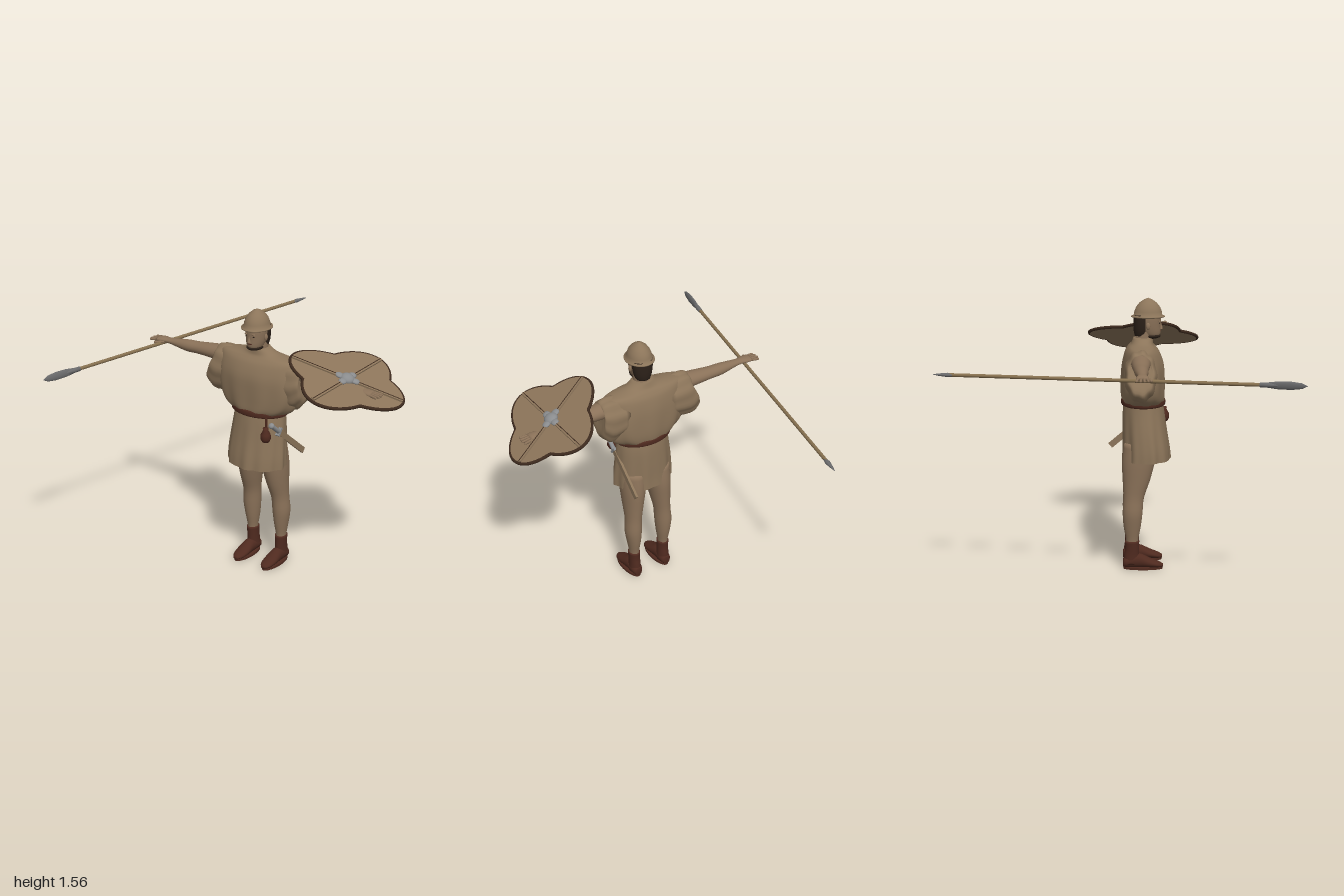
import * as THREE from 'three';

const mat = (name, color, side = THREE.FrontSide) => {
  const m = new THREE.MeshStandardMaterial({ color, side });
  m.name = name;
  return m;
};

// Catmull-Rom interpolation of ring rows
function refine(rows, k) {
  const out = [], at = i => rows[Math.min(Math.max(i, 0), rows.length - 1)];
  for (let i = 0; i < rows.length - 1; i++) for (let s = 0; s < k; s++) {
    const t = s / k;
    out.push(rows[i].map((b, c) => {
      const a = at(i - 1)[c], d = at(i + 1)[c], e = at(i + 2)[c];
      return b + 0.5 * t * (d - a + t * (2 * a - 5 * b + 4 * d - e + t * (3 * (b - d) + e - a)));
    }));
  }
  out.push(rows[rows.length - 1]);
  return out;
}

// Skin through elliptical rings [y, cx, cz, rx, rz]; fold(angle, y) swells the radius
function loft(rows, { n = 28, k = 3, fold = () => 1, cap = true } = {}) {
  const rings = refine(rows, k), pos = [], idx = [];
  rings.forEach(([y, cx, cz, rx, rz]) => {
    for (let j = 0; j < n; j++) {
      const a = j / n * Math.PI * 2, f = fold(a, y);
      pos.push(cx + Math.cos(a) * rx * f, y, cz + Math.sin(a) * rz * f);
    }
  });
  for (let i = 0; i < rings.length - 1; i++) for (let j = 0; j < n; j++) {
    const a = i * n + j, b = i * n + (j + 1) % n;
    idx.push(a, a + n, b, b, a + n, b + n);
  }
  if (cap) [0, rings.length - 1].forEach((i, top) => {
    const c = pos.length / 3, r = rings[i];
    pos.push(r[1], r[0], r[2]);
    for (let j = 0; j < n; j++) {
      const a = i * n + j, b = i * n + (j + 1) % n;
      if (top) idx.push(c, b, a); else idx.push(c, a, b);
    }
  });
  const g = new THREE.BufferGeometry();
  g.setAttribute('position', new THREE.Float32BufferAttribute(pos, 3));
  g.setIndex(idx);
  g.computeVertexNormals();
  return g;
}
// Rings given along x as [x, y, z, ry, rz]
const loftX = (rows, o) => loft(rows.map(([x, y, z, a, b]) => [x, -y, z, a, b]), o).rotateZ(-Math.PI / 2);
// Rings given along z as [z, x, y, rx, ry]
const loftZ = (rows, o) => loft(rows.map(([z, x, y, a, b]) => [z, x, -y, a, b]), o).rotateX(Math.PI / 2);
const lathe = (pts, n = 32) => new THREE.LatheGeometry(pts.map(p => new THREE.Vector2(...p)), n);

function add(parent, name, geo, material, pos = [0, 0, 0], scale = [1, 1, 1]) {
  const m = new THREE.Mesh(geo, material);
  m.name = name;
  m.position.set(...pos);
  m.scale.set(...scale);
  parent.add(m);
  return m;
}
function group(parent, name) {
  const g = new THREE.Group();
  g.name = name;
  parent.add(g);
  return g;
}

export function createModel() {
  const cloth = mat('tunic cloth', 0x8c755a, THREE.DoubleSide), skin = mat('skin', 0x8b7259);
  const leather = mat('brown leather', 0x4f2a1f), steel = mat('grey metal', 0x8a8c8e);
  const iron = mat('dark iron', 0x6a6a6b), hair = mat('dark hair', 0x2c2119);
  const wood = mat('wood', 0x86704f), rimMat = mat('shield rim', 0x3d2a1e);
  const root = new THREE.Group();
  root.name = 'spearman';
  const body = group(root, 'body');
  body.position.x = -0.008;

  // Tunic: blousing top, belt and pleated skirt
  add(body, 'tunicTop', loft([
    [0.96, 0, 0.152, 0.16, 0.115], [0.985, 0, 0.152, 0.215, 0.122], [1.03, 0, 0.15, 0.255, 0.125],
    [1.10, 0, 0.15, 0.275, 0.125], [1.18, 0, 0.15, 0.275, 0.12], [1.25, 0, 0.145, 0.27, 0.10],
    [1.28, 0, 0.142, 0.255, 0.08], [1.292, 0, 0.142, 0.18, 0.07], [1.305, 0, 0.145, 0.11, 0.062],
    [1.335, 0, 0.15, 0.058, 0.055]],
  { n: 72, fold: (a, y) => 1 + 0.022 * Math.sin(11 * a) * THREE.MathUtils.clamp((1.25 - y) * 6, 0, 1) }), cloth);
  add(body, 'skirt', loft([
    [0.635, -0.009, 0.17, 0.18, 0.138], [0.70, -0.008, 0.168, 0.18, 0.134], [0.80, -0.005, 0.16, 0.173, 0.127],
    [0.90, 0, 0.154, 0.163, 0.12], [0.965, 0, 0.152, 0.155, 0.112]],
  { n: 84, cap: false, fold: (a, y) => 1 + (0.965 - y) * (0.09 * Math.sin(9 * a + 0.6) + 0.05 * Math.sin(14 * a)) }), cloth);
  add(body, 'belt', loft([
    [0.948, 0, 0.152, 0.166, 0.119], [0.955, 0, 0.152, 0.177, 0.126], [0.978, 0, 0.152, 0.177, 0.126],
    [0.986, 0, 0.152, 0.166, 0.119]], { n: 48 }), leather);

  // Limbs, built for the left and mirrored
  const leg = loft([
    [0.14, 0.102, 0.09, 0.027, 0.034], [0.18, 0.102, 0.09, 0.03, 0.036], [0.25, 0.103, 0.09, 0.041, 0.049],
    [0.33, 0.105, 0.092, 0.05, 0.057], [0.42, 0.1, 0.098, 0.049, 0.059], [0.52, 0.093, 0.113, 0.06, 0.078],
    [0.63, 0.086, 0.125, 0.072, 0.094], [0.74, 0.08, 0.14, 0.075, 0.095]]);
  const arm = loftX([
    [0.18, 1.23, 0.135, 0.055, 0.06], [0.35, 1.224, 0.135, 0.042, 0.05], [0.45, 1.219, 0.135, 0.035, 0.041],
    [0.53, 1.216, 0.137, 0.034, 0.037], [0.65, 1.218, 0.14, 0.017, 0.024], [0.70, 1.218, 0.14, 0.016, 0.033],
    [0.74, 1.217, 0.14, 0.012, 0.034]]);
  const shaft = loft([
    [0.03, 0.1, 0.085, 0.036, 0.045], [0.08, 0.1, 0.087, 0.033, 0.043], [0.12, 0.101, 0.09, 0.033, 0.04],
    [0.165, 0.102, 0.09, 0.034, 0.041]]);
  const foot = loftZ([
    [0.038, 0.1, 0.035, 0.02, 0.024], [0.06, 0.1, 0.042, 0.034, 0.034], [0.13, 0.1, 0.048, 0.036, 0.042],
    [0.19, 0.1, 0.036, 0.041, 0.028], [0.24, 0.1, 0.026, 0.034, 0.018], [0.268, 0.1, 0.02, 0.014, 0.009]]);
  const sole = new THREE.CylinderGeometry(1, 1, 0.012, 32);
  for (const s of [1, -1]) {
    const side = group(body, s > 0 ? 'leftLimbs' : 'rightLimbs');
    side.scale.x = s;
    add(side, 'leg', leg, skin);
    add(side, 'bootShaft', shaft, leather);
    add(side, 'bootFoot', foot, leather);
    add(side, 'bootSole', sole, leather, [0.1, 0.006, 0.152], [0.043, 1, 0.113]);
    add(side, 'arm', arm, skin);
    // Fingers and thumb
    [0.113, 0.131, 0.149, 0.166].forEach((z, i) => {
      const f = add(side, 'finger', new THREE.CapsuleGeometry(0.0075, 0.06, 4, 8), skin,
        [0.758 - Math.abs(i - 1.4) * 0.006, 1.214, z]);
      f.rotation.set(0, (1.5 - i) * 0.1, -Math.PI / 2 - 0.08);
    });
    add(side, 'thumb', new THREE.CapsuleGeometry(0.0085, 0.05, 4, 8), skin, [0.71, 1.208, 0.176])
      .rotation.set(0, -0.45, -Math.PI / 2 - 0.1);
    // Draped sleeve, fuller on the right
    const sleeve = loftX([
      [0.14, 1.16, 0.135, 0.12, 0.09], [0.23, 1.15, 0.135, 0.142, 0.09], [0.275, 1.165, 0.135, 0.122, 0.082],
      [0.295, 1.178, 0.135, 0.095, 0.07], [0.29, 1.21, 0.135, 0.05, 0.05]],
    { n: 48, fold: a => 1 + 0.035 * Math.sin(9 * a) });
    const p = sleeve.attributes.position, flare = s > 0 ? 0.05 : 0.5;
    for (let i = 0; i < p.count; i++) {
      const x = p.getX(i);
      p.setX(i, x + flare * Math.max(0, 1.22 - p.getY(i)) * THREE.MathUtils.clamp((x - 0.14) * 7, 0, 1));
    }
    sleeve.computeVertexNormals();
    add(side, 'sleeve', sleeve, cloth);
  }

  // Head
  const head = group(body, 'head');
  add(head, 'neck', loft([[1.27, 0, 0.15, 0.06, 0.055], [1.33, 0, 0.155, 0.05, 0.05], [1.40, 0, 0.165, 0.048, 0.05]]), skin);
  add(head, 'face', loft([
    [1.338, 0, 0.205, 0.02, 0.025], [1.348, 0, 0.195, 0.04, 0.05], [1.37, 0, 0.186, 0.05, 0.064],
    [1.40, 0, 0.18, 0.057, 0.07], [1.44, 0, 0.178, 0.061, 0.074], [1.475, 0, 0.178, 0.06, 0.073]]), skin);
  add(head, 'hair', loft([
    [1.345, 0, 0.142, 0.044, 0.04], [1.38, 0, 0.143, 0.056, 0.047], [1.43, 0, 0.146, 0.063, 0.05],
    [1.465, 0, 0.148, 0.063, 0.05]]), hair);
  const ball = new THREE.SphereGeometry(1, 20, 14);
  add(head, 'beard', ball, hair, [0, 1.344, 0.193], [0.046, 0.018, 0.058]);
  add(head, 'nose', new THREE.ConeGeometry(0.011, 0.036, 8), skin, [0, 1.402, 0.252]);
  add(head, 'mouth', ball, leather, [0, 1.372, 0.249], [0.016, 0.003, 0.004]);
  for (const s of [1, -1]) {
    add(head, 'eye', ball, hair, [s * 0.022, 1.416, 0.242], [0.008, 0.004, 0.005]);
    add(head, 'brow', ball, skin, [s * 0.022, 1.428, 0.242], [0.015, 0.005, 0.008]);
    add(head, 'ear', ball, skin, [s * 0.062, 1.405, 0.178], [0.008, 0.02, 0.012]);
  }
  add(head, 'helmet', lathe([
    [0, 1.445], [0.078, 1.449], [0.087, 1.452], [0.087, 1.457], [0.074, 1.462], [0.071, 1.483],
    [0.062, 1.508], [0.045, 1.532], [0.022, 1.55], [0, 1.56]], 40), cloth, [0, 0, 0.178], [0.97, 1, 1.1]);

  // Pouch and sheathed sword on the left hip
  add(root, 'pouch', lathe([[0, -0.045], [0.02, -0.04], [0.03, -0.02], [0.028, 0.005], [0.014, 0.03],
    [0.017, 0.042], [0, 0.045]], 20), leather, [0.12, 0.867, 0.275]);
  add(root, 'pouchStrap', new THREE.BoxGeometry(0.012, 0.07, 0.008), leather, [0.118, 0.93, 0.268]);
  const sword = group(root, 'sword');
  sword.position.set(0.155, 0.8, 0.115);
  sword.rotation.x = Math.atan2(0.31, 0.26);
  add(sword, 'scabbard', new THREE.BoxGeometry(0.014, 0.3, 0.034), cloth, [0, -0.05, 0]);
  add(sword, 'guard', new THREE.BoxGeometry(0.024, 0.014, 0.05), steel, [0, 0.107, 0]);
  add(sword, 'grip', new THREE.CylinderGeometry(0.013, 0.013, 0.085, 14), steel, [0, 0.155, 0]);
  add(sword, 'pommel', ball, steel, [0, 0.2, 0], [0.017, 0.014, 0.017]);

  // Spear through the right hand
  const spear = group(root, 'spear');
  spear.position.set(-0.68, 1.2, 0);
  spear.quaternion.setFromUnitVectors(new THREE.Vector3(0, 1, 0), new THREE.Vector3(-0.37, 0, 2).normalize());
  add(spear, 'spearShaft', new THREE.CylinderGeometry(0.01, 0.01, 1.72, 16), wood, [0, -0.06, 0]);
  add(spear, 'spearSocket', lathe([[0, 0.76], [0.013, 0.765], [0.014, 0.81], [0.009, 0.86], [0, 0.88]], 16), iron);
  add(spear, 'spearHead', lathe([[0, 0.77], [0.013, 0.79], [0.022, 0.86], [0.023, 0.93], [0.016, 0.985], [0, 1.016]], 16),
    iron, [0, 0, 0], [0.4, 1, 1]);
  add(spear, 'spearButt', lathe([[0, -1.016], [0.008, -0.98], [0.015, -0.93], [0.011, -0.9], [0, -0.895]], 16),
    iron, [0, 0, 0], [1, 1, 0.75]);

  // Four-lobed shield: outline of two crossed ellipses
  const shield = group(root, 'shield');
  const n = new THREE.Vector3(0.4, 1, 0.05).normalize(), u = new THREE.Vector3(1, -0.4, 0).normalize();
  shield.quaternion.setFromRotationMatrix(new THREE.Matrix4().makeBasis(u, n.clone().cross(u), n));
  shield.position.set(0.577, 1.265, 0.157);
  const lobes = [THREE.MathUtils.degToRad(23), Math.PI / 2], A = 0.325, B = 0.19, outline = [];
  for (let i = 0; i < 120; i++) {
    const t = i / 120 * Math.PI * 2;
    const r = Math.max(...lobes.map(l => A * B / Math.hypot(B * Math.cos(t - l), A * Math.sin(t - l))));
    outline.push(new THREE.Vector2(r * Math.cos(t), r * Math.sin(t)));
  }
  add(shield, 'shieldBoard', new THREE.ExtrudeGeometry(new THREE.Shape(outline), { depth: 0.016, bevelEnabled: false }),
    cloth, [0, 0, -0.008]);
  const edge = new THREE.CatmullRomCurve3(outline.map(p => new THREE.Vector3(p.x, p.y, 0)), true);
  add(shield, 'shieldRim', new THREE.TubeGeometry(edge, 160, 0.0095, 8, true), rimMat);
  for (const l of lobes) {
    add(shield, 'shieldRib', new THREE.BoxGeometry(0.64, 0.024, 0.012), cloth, [0, 0, 0.011]).rotation.z = l;
    add(shield, 'ribSeam', new THREE.BoxGeometry(0.64, 0.004, 0.003), rimMat, [0, 0, 0.0175]).rotation.z = l;
  }
  // Metal boss with petals
  add(shield, 'boss', ball, steel, [0, 0, 0.012], [0.04, 0.04, 0.026]);
  for (const l of lobes) for (const s of [1, -1])
    add(shield, 'bossPetal', ball, steel, [s * 0.045 * Math.cos(l), s * 0.045 * Math.sin(l), 0.014], [0.026, 0.022, 0.012])
      .rotation.z = l;
  return root;
}
